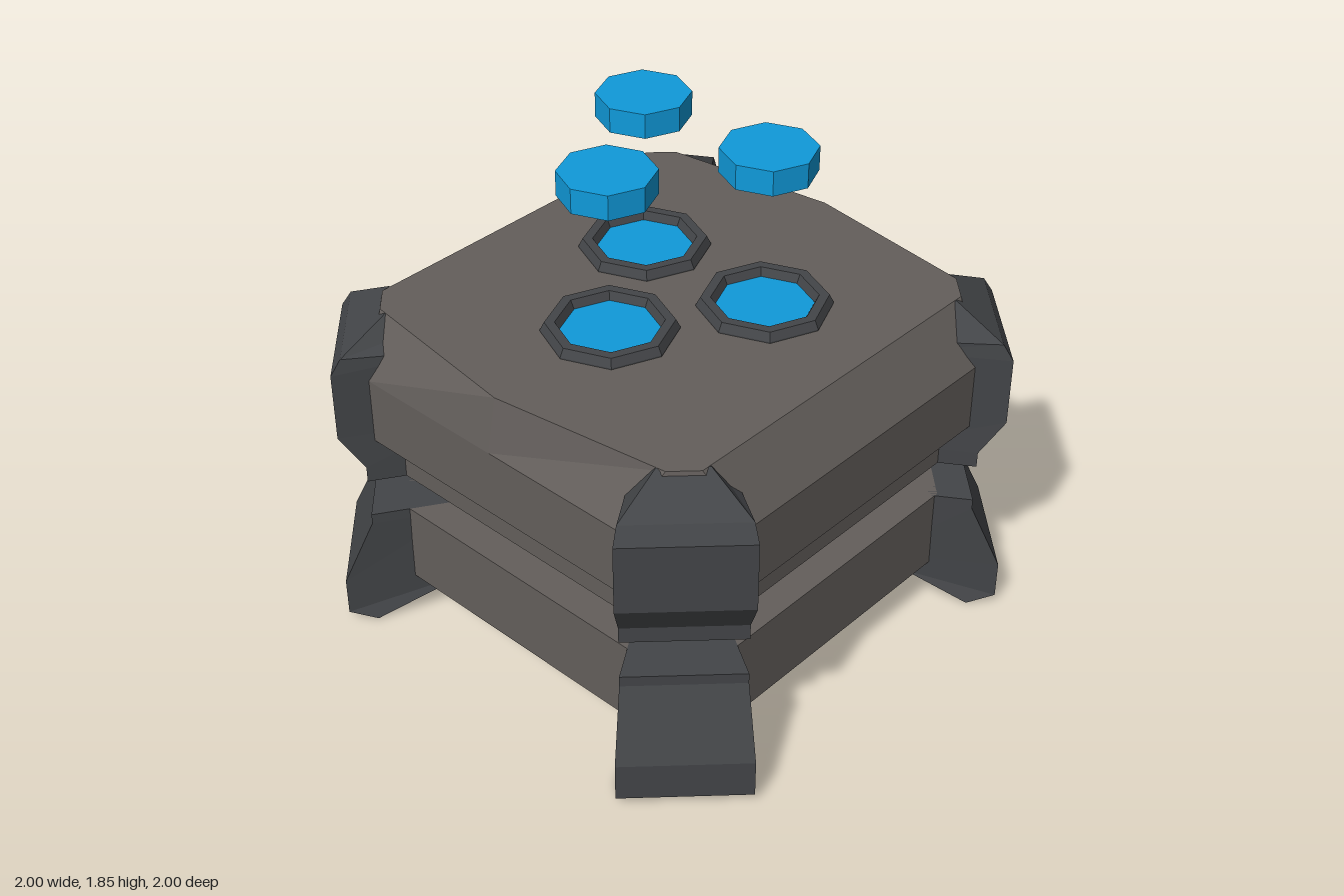
import * as THREE from 'three';

const material = (color) => new THREE.MeshStandardMaterial({ color, flatShading: true });

// Skin a stack of convex rings (counter-clockwise from above, bottom to top) and cap both ends.
function loft(rings) {
  const pos = [];
  const tri = (a, b, c) => pos.push(...a, ...b, ...c);
  const n = rings[0].length;
  for (let k = 0; k < rings.length - 1; k++) {
    for (let i = 0; i < n; i++) {
      const j = (i + 1) % n;
      const lo = rings[k], hi = rings[k + 1];
      tri(lo[i], lo[j], hi[j]);
      tri(lo[i], hi[j], hi[i]);
    }
  }
  const bottom = rings[0], top = rings[rings.length - 1];
  for (let i = 1; i < n - 1; i++) {
    tri(bottom[0], bottom[i + 1], bottom[i]);
    tri(top[0], top[i], top[i + 1]);
  }
  const geo = new THREE.BufferGeometry();
  geo.setAttribute('position', new THREE.Float32BufferAttribute(pos, 3));
  geo.computeVertexNormals();
  return geo;
}

// Square with cut corners: half size h, flat half width c, front and back midpoint at m.
function bodyRing(y, h, c, m = h) {
  return [[0, m], [c, h], [h, c], [h, -c], [c, -h], [0, -m], [-c, -h], [-h, -c], [-h, c], [-c, h]]
    .map(([x, z]) => [x, y, z]);
}

// Leg section: outer edge at height y, distance d, half width t; inner edge at yi, di, ti.
function legRing([y, d, t, yi = y, di = 0.75, ti = 0.14]) {
  return [[-t, y, d], [t, y, d], [ti, yi, di], [-ti, yi, di]];
}

export function createModel() {
  const model = new THREE.Group();
  const bodyMat = material(0x635e5b);
  const darkMat = material(0x434548);
  const blueMat = material(0x109ada);

  const add = (name, geo, mat, x = 0, y = 0, z = 0) => {
    const mesh = new THREE.Mesh(geo, mat);
    mesh.name = name;
    mesh.position.set(x, y, z);
    model.add(mesh);
    return mesh;
  };

  // Body halves with the glowing core between them
  add('lowerBody', loft([
    bodyRing(0.1, 0.74, 0.52),
    bodyRing(0.16, 0.79, 0.55),
    bodyRing(0.47, 0.79, 0.55),
  ]), bodyMat);
  add('core', loft([bodyRing(0.47, 0.64, 0.44), bodyRing(0.62, 0.64, 0.44)]), blueMat);
  add('upperBody', loft([
    bodyRing(0.62, 0.79, 0.55),
    bodyRing(0.79, 0.79, 0.55),
    bodyRing(0.79, 0.87, 0.59),
    bodyRing(1.04, 0.87, 0.59),
    bodyRing(1.24, 0.74, 0.66, 0.83),
  ]), bodyMat);

  // Corner armour: a foot below the gap and a guard above it
  const footGeo = loft([
    [0.0, 1.08, 0.23, 0.11, 0.85, 0.16],
    [0.035, 1.184, 0.23, 0.13],
    [0.18, 1.184, 0.23],
    [0.43, 1.07, 0.21],
    [0.47, 1.07, 0.21],
  ].map(legRing));
  const guardGeo = loft([
    [0.62, 1.07, 0.21],
    [0.68, 1.07, 0.21],
    [0.82, 1.156, 0.223],
    [1.08, 1.156, 0.223],
    [1.14, 1.12, 0.21, 1.12],
    [1.24, 0.97, 0.085, 1.19, 0.8, 0.07],
  ].map(legRing));
  for (let k = 0; k < 4; k++) {
    const angle = Math.PI / 4 + k * Math.PI / 2;
    add('foot', footGeo, darkMat).rotation.y = angle;
    add('cornerGuard', guardGeo, darkMat).rotation.y = angle;
  }

  // Three sockets on the lid, each with a disc hovering above
  const rimGeo = new THREE.LatheGeometry(
    [[0.235, 1.23], [0.235, 1.245], [0.22, 1.275], [0.185, 1.275], [0.165, 1.235]]
      .map(([r, y]) => new THREE.Vector2(r, y)), 8);
  const floorGeo = new THREE.CylinderGeometry(0.17, 0.17, 0.01, 8);
  const discGeo = new THREE.CylinderGeometry(0.165, 0.165, 0.09, 8);
  for (const [x, z] of [[-0.28, -0.165], [0.28, -0.165], [0, 0.3]]) {
    add('socketRim', rimGeo, darkMat, x, 0, z);
    add('socketLight', floorGeo, blueMat, x, 1.24, z);
    add('hoveringDisc', discGeo, blueMat, x, 1.805, z);
  }

  return model;
}
